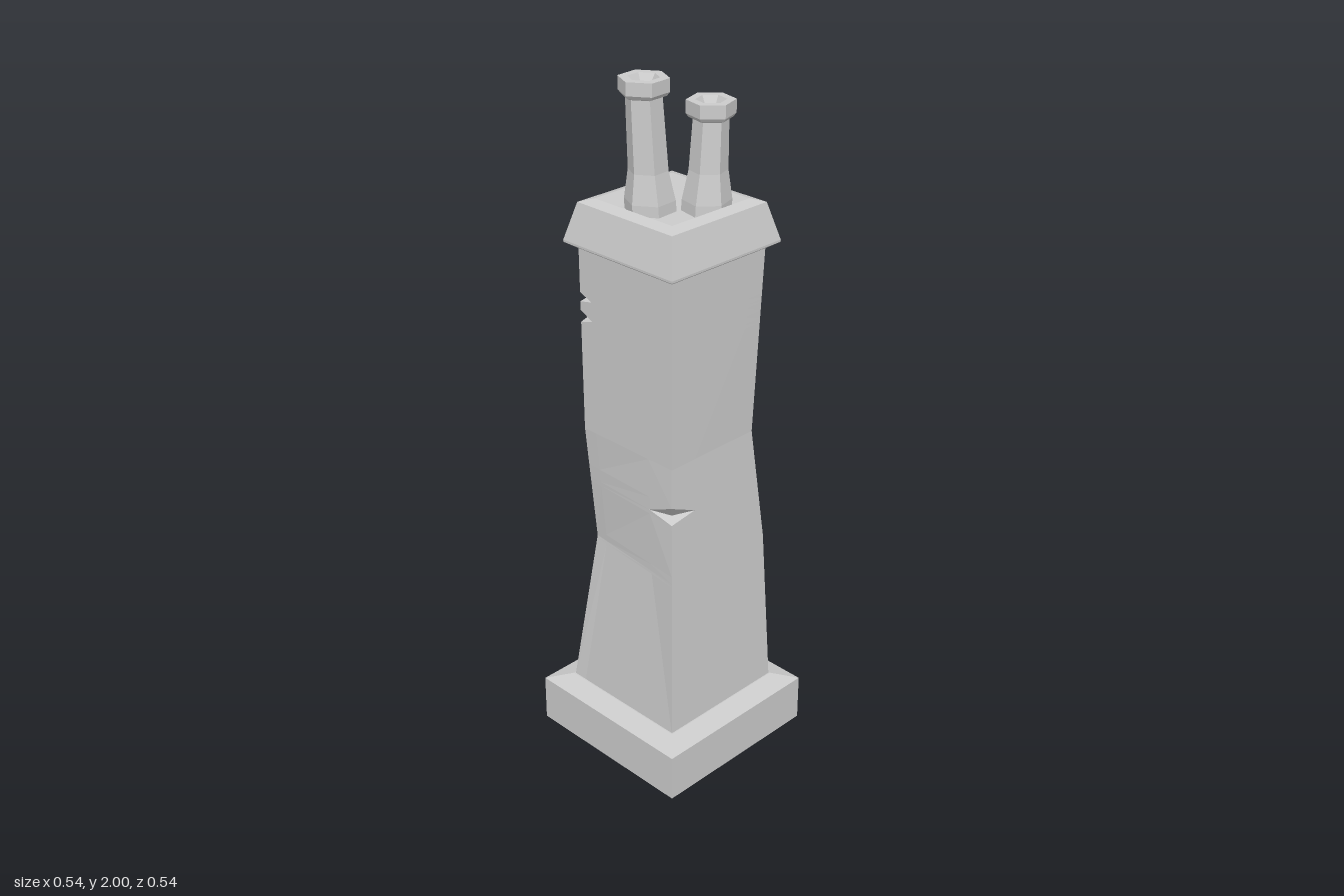
import * as THREE from 'three';

const material = new THREE.MeshStandardMaterial({ color: 0xcccccc, flatShading: true });

function addMesh(parent, name, geometry) {
  const mesh = new THREE.Mesh(geometry, material);
  mesh.name = name;
  parent.add(mesh);
  return mesh;
}

// Faceted turning of a [radius, y] profile; phase turns the corners
function turned(profile, sides, phase) {
  const points = profile.map(([r, y]) => new THREE.Vector2(r, y));
  return new THREE.LatheGeometry(points, sides, phase);
}

// Square stack from [half width, y] pairs
const square = (profile) =>
  turned(profile.map(([h, y]) => [h * Math.SQRT2, y]), 4, Math.PI / 4);

// Corner order: front left, back left, back right, front right (as x, z)
const levels = [
  { y: 0.15, c: [[0.207, 0.207], [0.207, -0.207], [-0.207, -0.207], [-0.207, 0.207]] },
  { y: 0.65, c: [[0.186, 0.186], [0.186, -0.186], [-0.152, -0.152], [-0.186, 0.186]] },
  { y: 1.0, c: [[0.145, 0.169], [0.172, -0.172], [-0.172, -0.172], [-0.174, 0.172]] },
  { y: 1.55, c: [[0.175, 0.175], [0.175, -0.175], [-0.175, -0.175], [-0.175, 0.175]] },
];
// Chips knocked out of the corners
const chips = [
  { corner: 3, y: 0.845, top: 0.885, bottom: 0.833, depth: 0.035 },
  { corner: 1, y: 0.65, top: 0.672, bottom: 0.642, depth: 0.03 },
  { corner: 2, y: 1.395, top: 1.412, bottom: 1.385, depth: 0.025 },
  { corner: 2, y: 1.338, top: 1.36, bottom: 1.325, depth: 0.035 },
];
const chipReach = [0.06, 0.06, 0.045, 0.09];

function cornersAt(y) {
  let k = 0;
  while (k < levels.length - 2 && y > levels[k + 1].y) k++;
  const a = levels[k], b = levels[k + 1], t = (y - a.y) / (b.y - a.y);
  return a.c.map((p, i) =>
    new THREE.Vector3(p[0], y, p[1]).lerp(new THREE.Vector3(b.c[i][0], y, b.c[i][1]), t));
}

// Shaft: rings of four corners, each corner flanked by a point on either face
function shaftGeometry() {
  const ys = [...new Set([...levels.map((l) => l.y),
    ...chips.flatMap((n) => [n.bottom, n.y, n.top])])].sort((a, b) => a - b);
  const chipAt = (y, corner) => chips.find((n) => n.y === y && n.corner === corner);
  const positions = [], index = [];
  ys.forEach((y) => {
    const corners = cornersAt(y);
    corners.forEach((p, i) => {
      const toward = (q) =>
        p.clone().addScaledVector(q.clone().sub(p).normalize(), chipReach[i]);
      const chip = chipAt(y, i);
      const middle = p.clone();
      if (chip) middle.addScaledVector(new THREE.Vector3(p.x, 0, p.z).normalize(), -chip.depth);
      for (const v of [toward(corners[(i + 3) % 4]), middle, toward(corners[(i + 1) % 4])])
        positions.push(v.x, v.y, v.z);
    });
  });
  for (let k = 0; k < ys.length - 1; k++) {
    for (let j = 0; j < 12; j++) {
      const a = k * 12 + j, b = k * 12 + (j + 1) % 12, c = b + 12, d = a + 12;
      // Choose the diagonal that keeps each chip a clean wedge
      const lowerChipped = Boolean(chipAt(ys[k], Math.floor(j / 3)));
      if ((j % 3 === 0) === lowerChipped) index.push(a, b, c, a, c, d);
      else index.push(a, b, d, b, c, d);
    }
  }
  const geometry = new THREE.BufferGeometry();
  geometry.setAttribute('position', new THREE.Float32BufferAttribute(positions, 3));
  geometry.setIndex(index);
  geometry.computeVertexNormals();
  return geometry;
}

// Hexagonal pot: flared foot, slim neck, heavy rim and a conical mouth
function potGeometry(top, size, phase, leanX, leanZ) {
  const foot = 1.635;
  const geometry = turned([
    [0.07 * size, foot], [0.069 * size, 1.675], [0.054 * size, 1.755],
    [0.049 * size, top - 0.05], [0.06 * size, top - 0.046], [0.068 * size, top - 0.036],
    [0.068 * size, top], [0.043 * size, top], [0, top - 0.06],
  ], 6, phase);
  const p = geometry.attributes.position;
  for (let i = 0; i < p.count; i++) {
    const low = Math.max(0, (top - 0.05 - p.getY(i)) / (top - 0.05 - foot));
    p.setX(i, p.getX(i) + leanX * low);
    p.setZ(i, p.getZ(i) + leanZ * low);
  }
  geometry.computeVertexNormals();
  return geometry;
}

export function createModel() {
  const model = new THREE.Group();
  model.name = 'chimney';

  // Plinth with a bevelled top
  addMesh(model, 'plinth', square([[0, 0], [0.272, 0], [0.272, 0.143], [0.21, 0.162], [0, 0.162]]));

  addMesh(model, 'shaft', shaftGeometry());

  // Cap with a sunken tray
  addMesh(model, 'cap', square([
    [0, 1.538], [0.175, 1.538], [0.203, 1.556], [0.203, 1.562],
    [0.175, 1.667], [0.143, 1.677], [0.117, 1.645], [0, 1.645],
  ]));

  const deg = Math.PI / 180;
  addMesh(model, 'tallPot', potGeometry(2.0, 1, 34 * deg, 0.013, 0.009))
    .position.set(-0.051, 0, -0.05);
  addMesh(model, 'shortPot', potGeometry(1.94, 0.96, 48 * deg, -0.011, -0.003))
    .position.set(0.075, 0, 0.066);

  return model;
}
